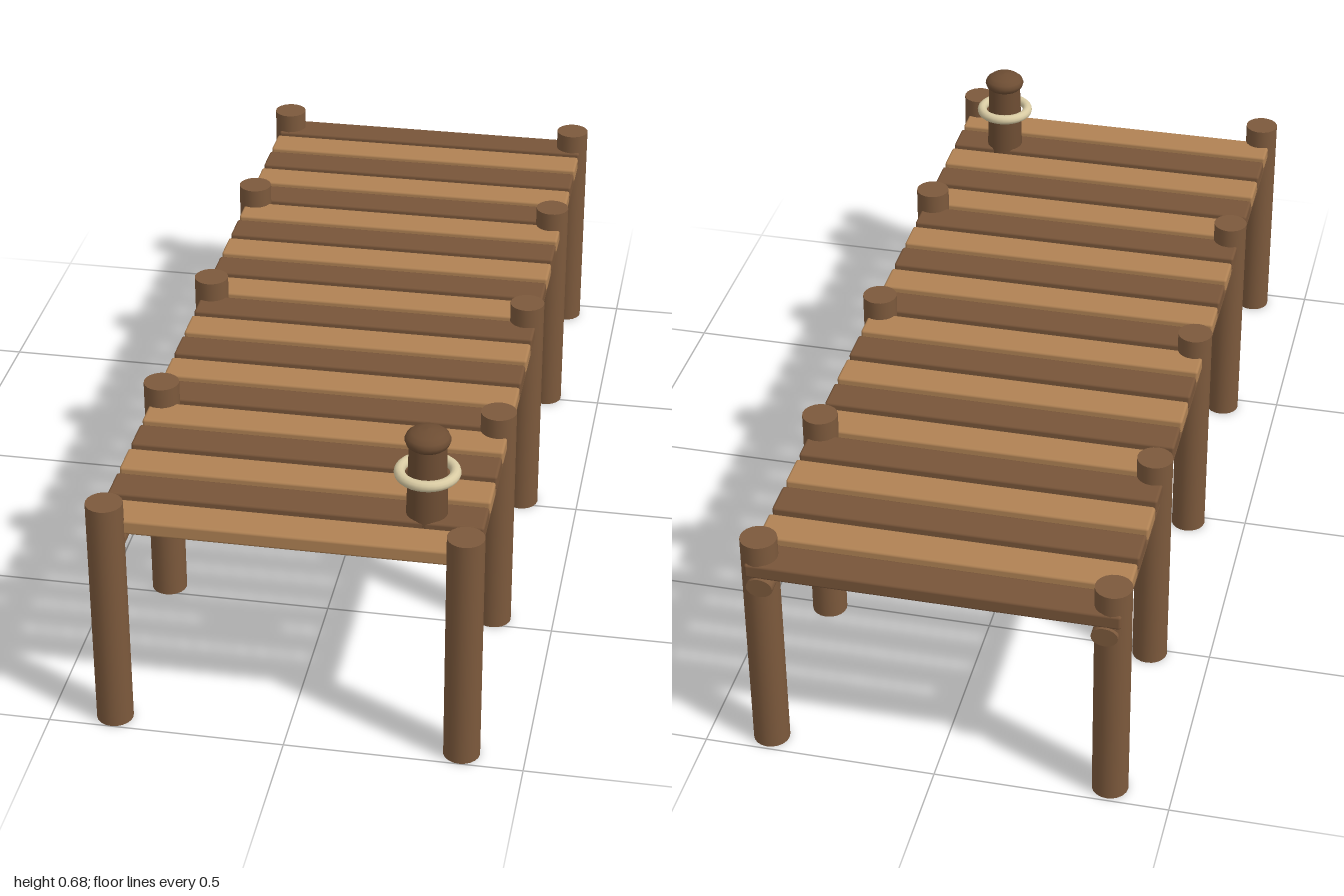
import * as THREE from 'three';
import { RoundedBoxGeometry } from 'three/addons/geometries/RoundedBoxGeometry.js';

function material(name, color) {
  const m = new THREE.MeshStandardMaterial({ color });
  m.name = name;
  return m;
}

export function createModel() {
  const lightWood = material('light wood', 0xb08254);
  const darkWood = material('dark wood', 0x785539);
  const postWood = material('post wood', 0x7c593c);
  const bollardWood = material('bollard wood', 0x6d4d33);
  const ropeFibre = material('rope fibre', 0xd9cba3);

  const dock = new THREE.Group();
  dock.name = 'dock';
  const add = (name, geometry, mat, x, y, z) => {
    const mesh = new THREE.Mesh(geometry, mat);
    mesh.name = name;
    mesh.position.set(x, y, z);
    dock.add(mesh);
    return mesh;
  };

  // Deck of alternating planks, back to front
  const plank = new RoundedBoxGeometry(0.78, 0.033, 0.081, 2, 0.006);
  for (let i = 0; i < 20; i++) {
    add('plank', plank, i % 2 ? lightWood : darkWood, 0, 0.469, -0.954 + i * 0.0983);
  }

  // Round posts and long beams on both sides
  const post = new THREE.CylinderGeometry(0.0385, 0.0385, 0.53, 20);
  const beam = new THREE.CylinderGeometry(1, 1, 1.96, 16);
  beam.rotateX(Math.PI / 2).scale(0.028, 0.022, 1);
  for (const [side, s] of [['left', 1], ['right', -1]]) {
    for (const z of [0.961, 0.47, -0.02, -0.51, -0.955]) {
      add(side + 'Post', post, postWood, s * 0.3675, 0.265, z);
    }
    add(side + 'Beam', beam, postWood, s * 0.358, 0.434, -0.02);
  }

  // Mooring bollard: tapered shaft, domed cap and a loop of rope
  const bx = 0.267, bz = 0.813;
  add('bollardShaft', new THREE.CylinderGeometry(0.0385, 0.0435, 0.18, 24), bollardWood, bx, 0.56, bz);
  const capProfile = [
    [0, 0], [0.036, 0], [0.044, 0.007], [0.0475, 0.017], [0.044, 0.026],
    [0.034, 0.034], [0.018, 0.039], [0, 0.041],
  ].map(([r, y]) => new THREE.Vector2(r, y));
  add('bollardCap', new THREE.LatheGeometry(capProfile, 24), bollardWood, bx, 0.641, bz);
  const rope = new THREE.TorusGeometry(0.057, 0.0115, 12, 32);
  rope.rotateX(Math.PI / 2);
  add('ropeLoop', rope, ropeFibre, bx, 0.581, bz);

  return dock;
}
